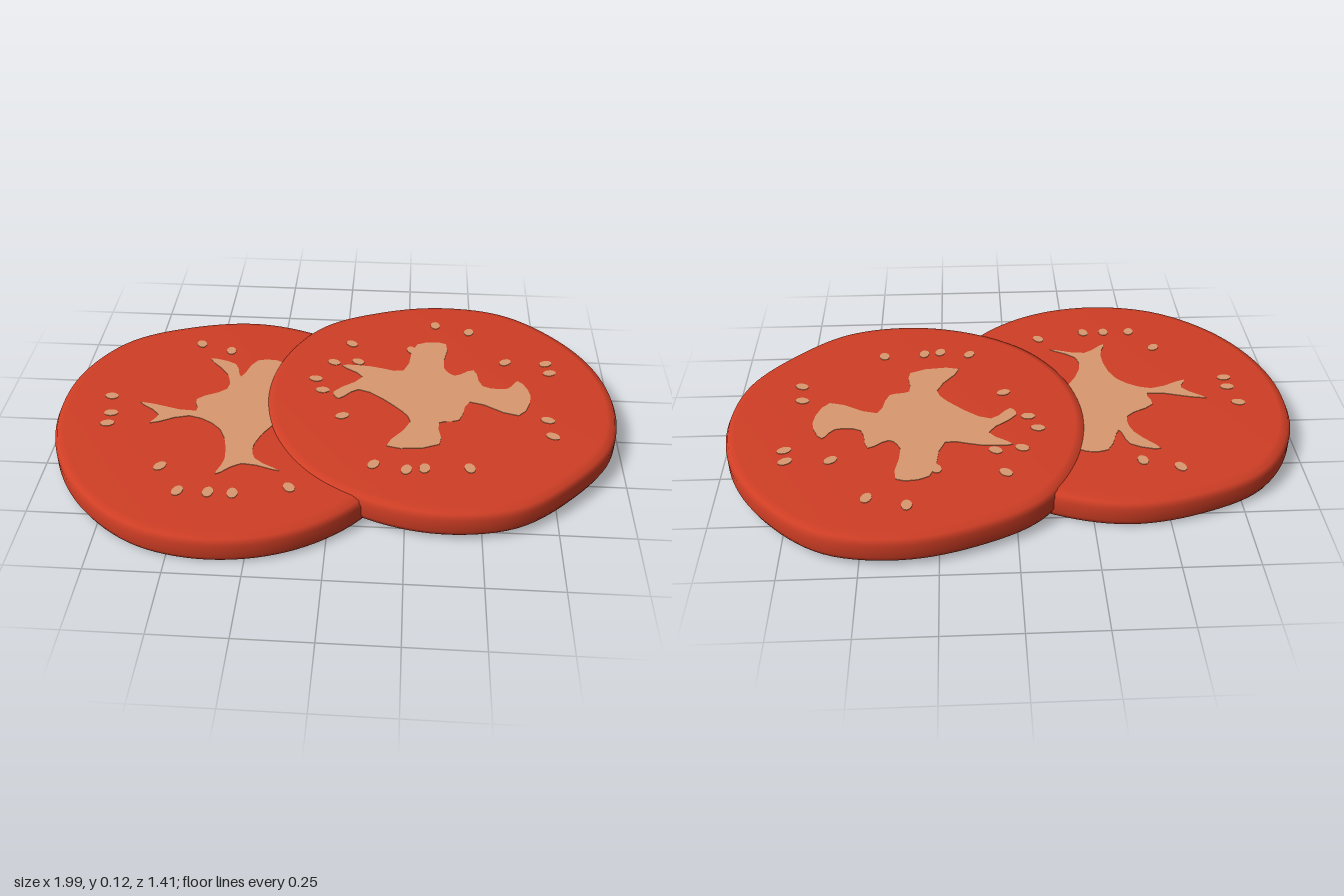
import * as THREE from 'three';

const flesh = new THREE.MeshStandardMaterial({ color: 0xd03e25 });
flesh.name = 'tomato red';
const pith = new THREE.MeshStandardMaterial({ color: 0xd9996e });
pith.name = 'pale pith';

const THICK = 0.1;
// Cross-section from underside centre to top centre: [scale, height]
const section = [[0.001, 0], [0.94, 0], [0.985, 0.005], [1, 0.025], [1, 0.072],
  [0.985, 0.092], [0.94, THICK], [0.001, THICK]];

const smoothLoop = (points, count) =>
  new THREE.CatmullRomCurve3(points, true, 'centripetal').getPoints(count).slice(0, count);

// Turns a flat list in hundredths into [x, z] pairs
const pairs = (list) => Array.from({ length: list.length / 2 }, (_, i) => [list[2 * i] / 100, list[2 * i + 1] / 100]);

// Wavy disc: evenly spaced radii smoothed into a rim, lofted through the cross-section
function bodyGeometry(radii) {
  const rim = radii.map((r, i) => {
    const a = (i / radii.length) * Math.PI * 2;
    return new THREE.Vector3(Math.cos(a) * r / 100, 0, Math.sin(a) * r / 100);
  });
  const n = radii.length * 7, loop = smoothLoop(rim, n), pos = [], index = [];
  section.forEach(([s, y], r) => loop.forEach((p, i) => {
    pos.push(p.x * s, y, p.z * s);
    if (r === 0) return;
    const j = (i + 1) % n, a = (r - 1) * n + i, b = (r - 1) * n + j, c = r * n + i, d = r * n + j;
    index.push(a, c, b, b, c, d);
  }));
  const g = new THREE.BufferGeometry();
  g.setAttribute('position', new THREE.Float32BufferAttribute(pos, 3));
  g.setIndex(index);
  g.computeVertexNormals();
  return g;
}

// Inlay running right through the slice, just proud of both faces
function inlayGeometry(shapes) {
  const g = new THREE.ExtrudeGeometry(shapes, { depth: THICK + 0.004, bevelEnabled: false, curveSegments: 6 });
  return g.rotateX(Math.PI / 2).translate(0, THICK + 0.002, 0);
}

function createSlice(name, [x, y, z], radii, core, seeds) {
  const slice = new THREE.Group();
  slice.name = name;
  slice.position.set(x, y, z);
  const add = (part, geometry, material) => {
    const mesh = new THREE.Mesh(geometry, material);
    mesh.name = part;
    slice.add(mesh);
  };
  add('flesh', bodyGeometry(radii), flesh);

  // Branching core
  const corners = pairs(core).map(([px, pz]) => new THREE.Vector3(px - x, 0, pz - z));
  const outline = smoothLoop(corners, corners.length * 3).map((p) => new THREE.Vector2(p.x, p.z));
  add('core', inlayGeometry(new THREE.Shape(outline)), pith);

  // Seeds, each a small oval pointing at the centre
  const ovals = pairs(seeds).map(([px, pz]) => new THREE.Shape().absellipse(
    px - x, pz - z, 0.025, 0.018, 0, Math.PI * 2, false, Math.atan2(pz - z, px - x)));
  add('seeds', inlayGeometry(ovals), pith);
  return slice;
}

export function createModel() {
  const model = new THREE.Group();
  model.name = 'tomatoSlices';
  model.add(createSlice('lowerSlice', [-0.36, 0.005, 0.07],
    [62, 62.6, 62.7, 62.9, 63, 63.2, 62.3, 62.2, 63.6, 66, 67, 63.8, 63, 62, 62.5, 61.3],
    [-50, -28, -40, -25, -37, -17, -32, -28, -22, -27, -23, -7, -4, -2, -8, 4, -18, 7, -27, 22, -26, 30, -17, 36,
      -30, 33, -38, 39, -36, 31, -40, 15, -52, 8, -65, 13, -63, 8, -71, 1, -50, 5, -51, -2, -41, -9, -42, -18],
    [-55, -38, -43, -34, -82, -2, -80, 8, -80, 14, -57, 36, -49, 48, -39, 48, -31, 48, -13, 44, 9, -13, 8, 15, -3, 24]));
  model.add(createSlice('upperSlice', [0.37, 0.018, -0.08],
    [62, 62.6, 61.5, 63.5, 63, 62.5, 63, 63, 63.2, 63.7, 64.7, 62.4, 62.8, 63.8, 62, 61.6],
    [28, -41, 39, -42, 38, -26, 42, -21, 49, -25, 52, -15, 61, -14, 65, -19, 69, -10, 64, 2, 47, -5, 43, 6,
      36, 8, 36, 20, 18, 22, 26, 8, 20, -1, 7, -10, 0, -4, -2, -8, 8, -18, 0, -25, 11, -25, 23, -23],
    [35, -55, 48, -51, 3, -40, 26, -37, 6, -28, -3, -27, -9, -16, -6, -9, 2, 6, 14, 32, 25, 34, 31, 33, 46, 32,
      75, 13, 74, 4, 77, -25, 76, -31, 61, -31]));
  return model;
}
